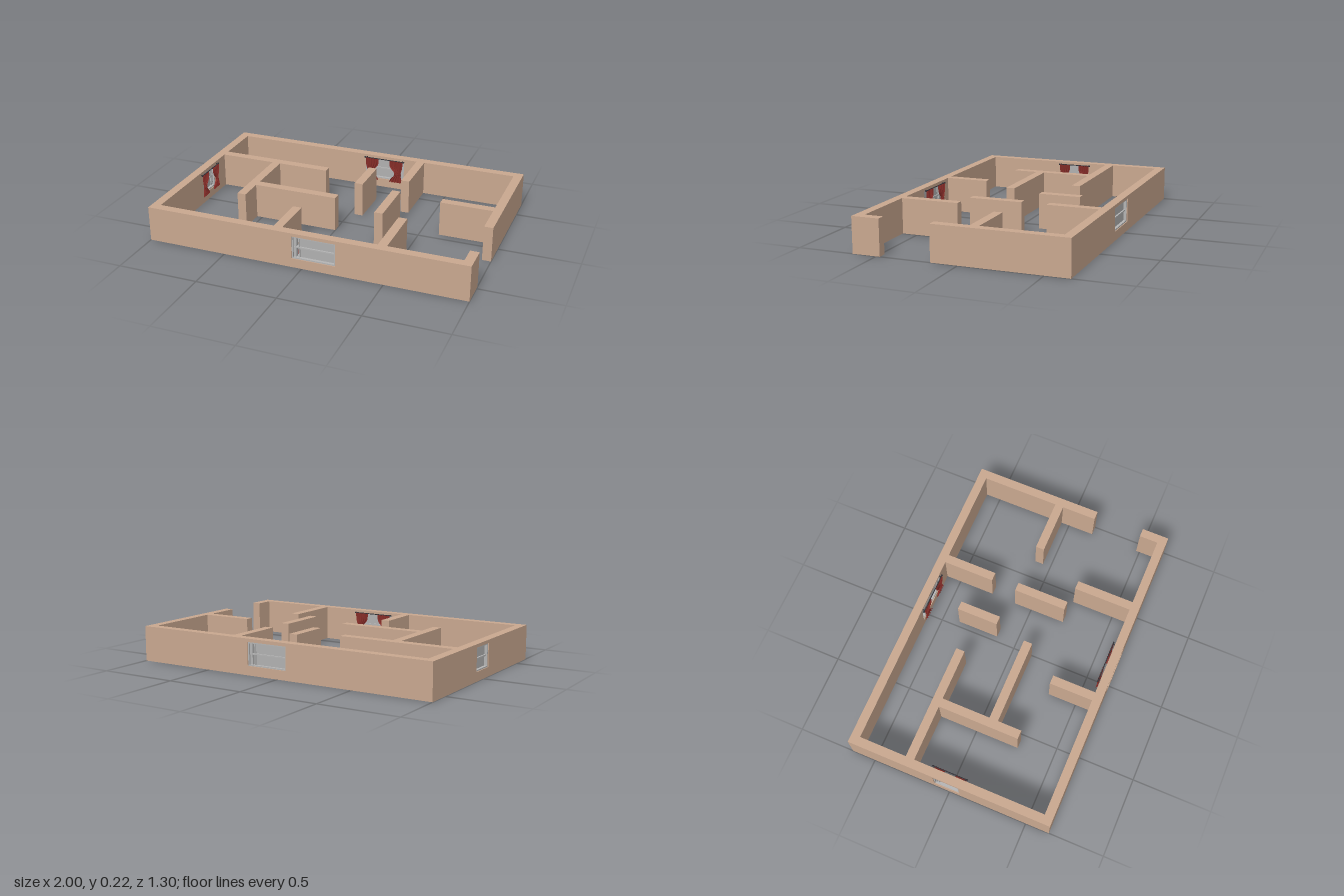
import * as THREE from 'three';

const H = 0.22, T = 0.055;               // wall height and thickness
const SILL = 0.057, HEAD = 0.2;          // window opening

const mat = (color, side = THREE.FrontSide) => new THREE.MeshStandardMaterial({ color, side });
const wallMat = mat(0xc8a78f);
const frameMat = mat(0xb4b4b4);
const paneMat = mat(0xb0b0b0);
const rodMat = mat(0x35353a);
const clothMat = mat(0x8c2f2a, THREE.DoubleSide);

function add(parent, name, geometry, material, x = 0, y = 0, z = 0) {
  const mesh = new THREE.Mesh(geometry, material);
  mesh.name = name;
  mesh.position.set(x, y, z);
  parent.add(mesh);
  return mesh;
}

// Box given by its extents
function block(parent, name, material, x0, x1, y0, y1, z0, z1) {
  return add(parent, name, new THREE.BoxGeometry(x1 - x0, y1 - y0, z1 - z0), material,
    (x0 + x1) / 2, (y0 + y1) / 2, (z0 + z1) / 2);
}

// Pleated cloth gathered by a tie a little below the middle
function curtainGeometry(width, height) {
  const g = new THREE.PlaneGeometry(1, 1, 40, 14);
  const p = g.attributes.position;
  for (let i = 0; i < p.count; i++) {
    const u = p.getX(i), v = p.getY(i) + 0.5;
    const pinch = Math.exp(-Math.pow((v - 0.4) / 0.22, 2));
    const w = width * (1 - 0.55 * pinch);
    const fold = Math.cos(u * Math.PI * 10) * 0.005 * (1 - 0.4 * pinch);
    p.setXYZ(i, u * w + 0.012 * pinch, (v - 0.5) * height, fold);
  }
  g.computeVertexNormals();
  return g;
}

// Window about the local origin: outside is +z, the room is -z
function makeWindow(w, rodLength) {
  const g = new THREE.Group();
  g.name = 'window';
  const f = 0.008, h = w / 2, mid = (SILL + HEAD) / 2;
  // Outer frame
  block(g, 'frameBottom', frameMat, -h, h, SILL, SILL + f, -0.022, 0.022);
  block(g, 'frameTop', frameMat, -h, h, HEAD - f, HEAD, -0.022, 0.022);
  for (const s of [-1, 1])
    add(g, 'frameSide', new THREE.BoxGeometry(f, HEAD - SILL - 2 * f, 0.044), frameMat, s * (h - f / 2), mid, 0);
  // Glazing stands slightly open at one side
  const open = -h + w * 0.14;
  block(g, 'pane', paneMat, open, h - f, SILL + f, HEAD - f, -0.004, 0.004);
  block(g, 'sashStile', frameMat, open, open + f, SILL + f, HEAD - f, -0.01, 0.012);
  block(g, 'fixedStile', frameMat, -h + f, -h + w * 0.095, SILL + f, HEAD - f, -0.01, 0.012);
  block(g, 'crossBar', frameMat, -h + f, h - f, mid - 0.004, mid + 0.004, -0.012, 0.014);

  // Curtain rod with end knobs and brackets
  const z = -T / 2 - 0.013, top = 0.204;
  const rod = add(g, 'curtainRod', new THREE.CylinderGeometry(0.003, 0.003, rodLength, 10), rodMat, 0, top, z);
  rod.rotation.z = Math.PI / 2;
  for (const s of [-1, 1]) {
    add(g, 'rodKnob', new THREE.SphereGeometry(0.006, 10, 8), rodMat, s * rodLength / 2, top, z);
    add(g, 'rodBracket', new THREE.BoxGeometry(0.005, 0.005, 0.013), rodMat, s * rodLength * 0.46, top, z + 0.0065);
    // Curtain, mirrored for the other side
    const side = new THREE.Group();
    side.name = 'curtain';
    side.position.set(s * rodLength * 0.31, 0, z);
    side.scale.x = s;
    add(side, 'curtainCloth', curtainGeometry(rodLength * 0.34, 0.155), clothMat, 0, 0.127, 0);
    const tie = add(side, 'curtainTie', new THREE.TorusGeometry(rodLength * 0.085, 0.002, 6, 20), clothMat, 0.012, 0.112, 0);
    tie.rotation.x = Math.PI / 2;
    tie.scale.y = 0.3;
    g.add(side);
  }
  return g;
}

// Wall from a to b along local x, with a window opening centred on c
function windowWall(name, a, b, c, w, rodLength) {
  const g = new THREE.Group();
  g.name = name;
  const rect = (S, x0, x1, y0, y1) => {
    const s = new S();
    s.moveTo(x0, y0); s.lineTo(x1, y0); s.lineTo(x1, y1); s.lineTo(x0, y1); s.closePath();
    return s;
  };
  const shape = rect(THREE.Shape, a, b, 0, H);
  shape.holes.push(rect(THREE.Path, c - w / 2, c + w / 2, SILL, HEAD));
  add(g, name + 'Panel', new THREE.ExtrudeGeometry(shape, { depth: T, bevelEnabled: false }), wallMat, 0, 0, -T / 2);
  const win = makeWindow(w, rodLength);
  win.position.x = c;
  g.add(win);
  return g;
}

export function createModel() {
  const house = new THREE.Group();
  house.name = 'floorPlan';

  // Outer walls with windows
  const front = windowWall('frontWall', -1, 1, 0.073, 0.27, 0.27);
  front.position.z = 0.65 - T / 2;
  const back = windowWall('backWall', -1, 1, -0.073, 0.27, 0.27);
  back.position.z = -0.65 + T / 2;
  back.rotation.y = Math.PI;
  const right = windowWall('rightWall', -0.65 + T, 0.65 - T, -0.015, 0.165, 0.22);
  right.position.x = -1 + T / 2;
  right.rotation.y = -Math.PI / 2;
  house.add(front, back, right);

  // Plain walls: x0, x1, z0, z1
  const walls = {
    leftWallBack: [0.945, 1, -0.595, 0.165],
    leftWallFront: [0.945, 1, 0.477, 0.595],
    bedroomWall: [-0.945, -0.208, -0.295, -0.24],
    corridorWall: [-0.59, -0.535, -0.24, 0.275],
    middleWall: [-0.535, 0, 0.068, 0.123],
    frontPartitionRight: [-0.195, -0.14, 0.32, 0.595],
    frontPartitionLeft: [0.445, 0.5, 0.23, 0.595],
    hallPartition: [0.289, 0.343, -0.113, 0.22],
    centrePartition: [0.033, 0.087, -0.392, -0.13],
    backPartition: [0.294, 0.348, -0.595, -0.273],
    sidePartition: [0.617, 0.945, -0.107, -0.053],
  };
  for (const [name, [x0, x1, z0, z1]] of Object.entries(walls))
    block(house, name, wallMat, x0, x1, 0, H, z0, z1);

  return house;
}
